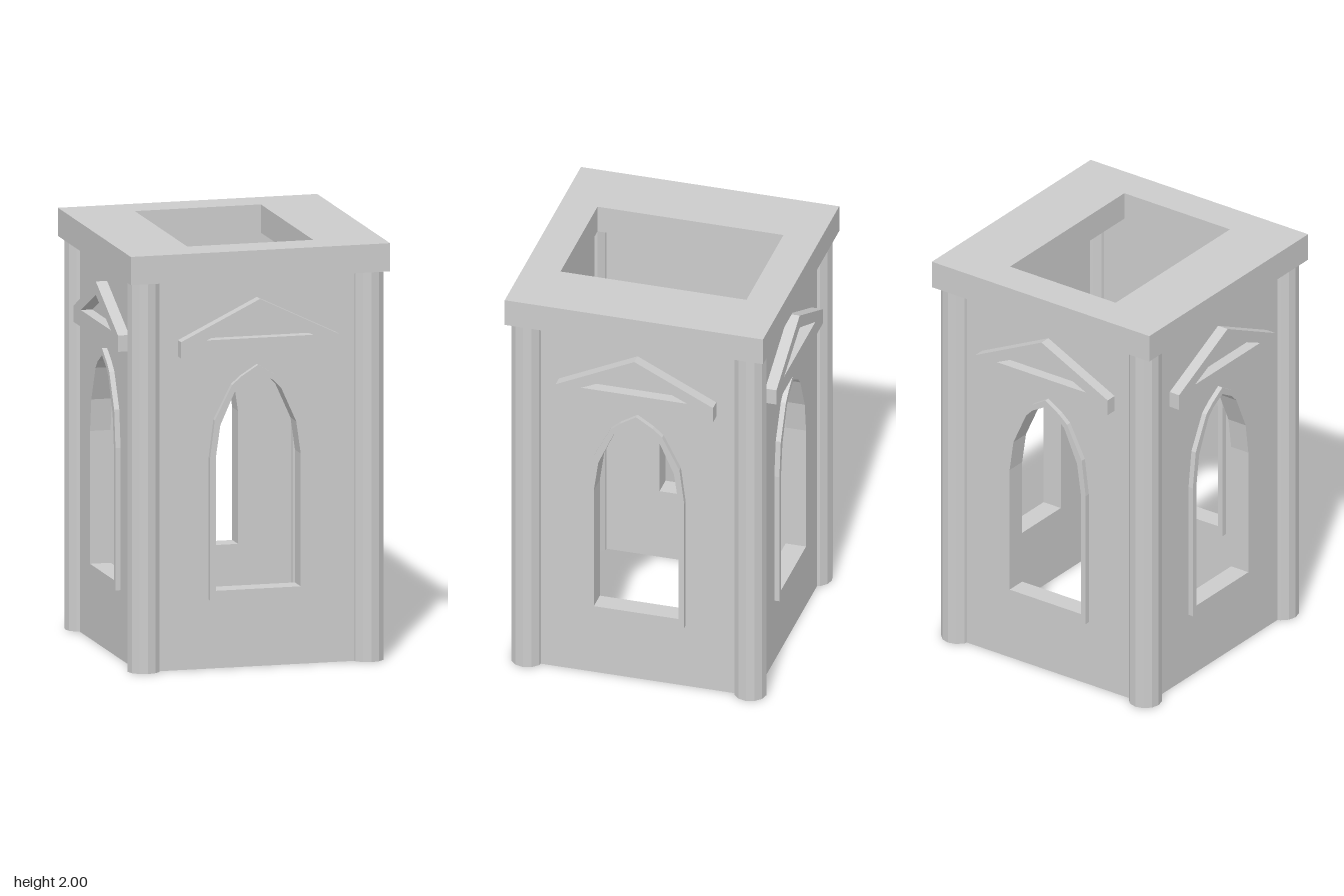
import * as THREE from 'three';

const mat = new THREE.MeshStandardMaterial({ color: 0xcccccc, flatShading: true });

// Mirrors right-hand profile points (bottom to peak, peak at x = 0) into a closed outline
function mirrored(points, Type = THREE.Shape) {
  const left = points.slice(0, -1).reverse().map(([x, y]) => [-x, y]);
  return new Type([...points, ...left].map(([x, y]) => new THREE.Vector2(x, y)));
}

// Extrudes an outline with one hole between two z planes
function slab(name, outline, hole, zBack, zFront) {
  outline.holes.push(hole);
  const geo = new THREE.ExtrudeGeometry(outline, { depth: zFront - zBack, bevelEnabled: false });
  geo.translate(0, 0, zBack);
  const mesh = new THREE.Mesh(geo, mat);
  mesh.name = name;
  return mesh;
}

const archOuter = [[0.235, 0.33], [0.235, 1.01], [0.212, 1.19], [0.127, 1.355], [0.08, 1.395], [0, 1.445]];
const archInner = [[0.207, 0.375], [0.207, 1.01], [0.185, 1.165], [0.111, 1.33], [0.074, 1.368], [0, 1.41]];
const gableOuter = [[0.385, 1.5], [0.385, 1.578], [0, 1.765]];
const gableInner = [[0.26, 1.58], [0, 1.7]];

function rect(hx, y0, y1, Type) {
  return new Type([[-hx, y0], [hx, y0], [hx, y1], [-hx, y1]].map(([x, y]) => new THREE.Vector2(x, y)));
}

// One side: wall with arched opening, window frame and gable moulding
function makeSide() {
  const side = new THREE.Group();
  side.add(
    slab('wall', rect(0.545, 0, 1.865, THREE.Shape), mirrored(archOuter, THREE.Path), 0.52, 0.57),
    slab('windowFrame', mirrored(archOuter), mirrored(archInner, THREE.Path), 0.495, 0.595),
    slab('gable', mirrored(gableOuter), mirrored(gableInner, THREE.Path), 0.565, 0.625)
  );
  return side;
}

export function createModel() {
  const model = new THREE.Group();
  model.name = 'tower';

  // Four identical sides
  ['front', 'left', 'back', 'right'].forEach((name, i) => {
    const side = makeSide();
    side.name = name + 'Side';
    side.rotation.y = i * Math.PI / 2;
    model.add(side);
  });

  // Corner columns
  const columnGeo = new THREE.CylinderGeometry(0.078, 0.078, 1.865, 12);
  for (const x of [-1, 1]) for (const z of [-1, 1]) {
    const column = new THREE.Mesh(columnGeo, mat);
    column.name = 'cornerColumn';
    column.position.set(x * 0.545, 0.9325, z * 0.545);
    model.add(column);
  }

  // Top slab with a rectangular opening
  const cap = slab('capSlab', rect(0.632, -0.632, 0.632, THREE.Shape),
    rect(0.307, -0.455, 0.455, THREE.Path), 0, 0.135);
  cap.rotation.x = -Math.PI / 2;
  cap.position.y = 1.865;
  model.add(cap);

  return model;
}
